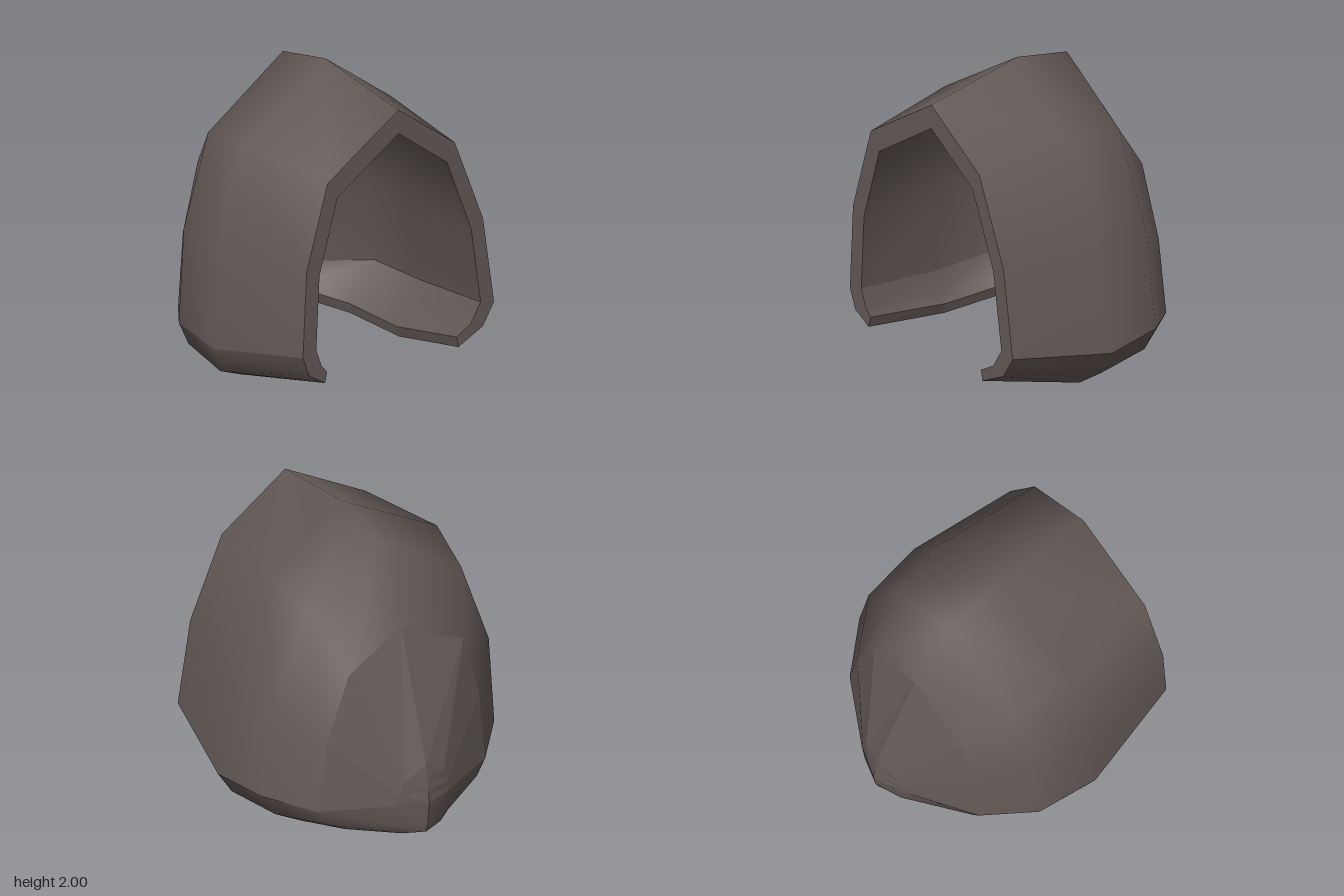
import * as THREE from 'three';

// Arch cross-sections from front to back. Each runs from the tip of the
// curled lower lip on the -x side, over the peak, to the tip on the +x side.
const at = (z, pts) => pts.map(([x, y]) => [x, y, z]);
const mirrored = (half) => [
  ...half.map(([x, y, z]) => [-x, y, z]),
  ...half.slice(0, -1).reverse(),
];
const outer = [
  at(0.87, [[-0.60, 0.19], [-0.73, 0.27], [-0.78, 0.40], [-0.75, 0.96], [-0.58, 1.51], [0, 1.86],
    [0.46, 1.53], [0.69, 0.97], [0.78, 0.39], [0.69, 0.25], [0.49, 0.16]]),
  at(0.17, [[-0.70, 0.07], [-0.86, 0.13], [-0.91, 0.29], [-0.87, 0.95], [-0.68, 1.60], [0, 2],
    [0.53, 1.62], [0.80, 0.96], [0.91, 0.29], [0.81, 0.13], [0.60, 0]]),
  at(-0.24, [[-0.63, 0.11], [-0.77, 0.17], [-0.85, 0.33], [-0.81, 0.95], [-0.61, 1.54], [0, 1.93],
    [0.50, 1.56], [0.76, 0.95], [0.85, 0.33], [0.74, 0.16], [0.55, 0.05]]),
  at(-0.53, [[-0.46, 0.14], [-0.55, 0.18], [-0.61, 0.29], [-0.57, 0.78], [-0.45, 1.22], [0, 1.45],
    [0.38, 1.22], [0.54, 0.76], [0.61, 0.29], [0.53, 0.17], [0.41, 0.10]]),
  mirrored([[0.14, 0.11, -0.77], [0.17, 0.18, -0.79], [0.20, 0.34, -0.79], [0.18, 0.42, -0.80],
    [0.14, 0.51, -0.81], [0, 0.60, -0.83]]),
  // closing seam on the centre line
  mirrored([[0, 0.11, -0.83], [0, 0.18, -0.85], [0, 0.34, -0.87], [0, 0.42, -0.86],
    [0, 0.51, -0.845], [0, 0.60, -0.83]]),
];

// Inner wall: the same sections drawn in, keeping the front rim flat
const inner = outer.map((ring) => ring.map(([x, y, z], j) => {
  const tip = j === 0 || j === ring.length - 1;
  const zi = z < 0 ? z * 0.94 : z;
  return tip ? [x * 0.97, y + 0.07, zi] : [x * 0.86, 0.6 + (y - 0.6) * 0.875, zi];
}));

// Skin a grid of points; flip turns the faces round
function skin(rows, flip = false) {
  const n = rows[0].length, index = [];
  for (let i = 0; i < rows.length - 1; i++) {
    for (let j = 0; j < n - 1; j++) {
      const a = i * n + j, b = a + 1, d = a + n, c = d + 1;
      index.push(...(flip ? [a, c, b, a, d, c] : [a, b, c, a, c, d]));
    }
  }
  const g = new THREE.BufferGeometry();
  g.setAttribute('position', new THREE.Float32BufferAttribute(rows.flat(2), 3));
  g.setIndex(index);
  g.computeVertexNormals();
  return g;
}

export function createModel() {
  const group = new THREE.Group();
  const color = 0x645a57;
  const smooth = new THREE.MeshStandardMaterial({ color });
  const flat = new THREE.MeshStandardMaterial({ color, flatShading: true });
  const edge = new THREE.MeshStandardMaterial({ color, flatShading: true, side: THREE.DoubleSide });
  const add = (name, geometry, material) => {
    const mesh = new THREE.Mesh(geometry, material);
    mesh.name = name;
    group.add(mesh);
  };
  const cut = (rings, r0, r1, c0, c1) => rings.slice(r0, r1 + 1).map((r) => r.slice(c0, c1 + 1));

  // Both walls: smooth dome, faceted back, curled lower lips
  for (const [side, rings, flip] of [['outer', outer, false], ['inner', inner, true]]) {
    add(side + 'Dome', skin(cut(rings, 0, 3, 2, 8), flip), smooth);
    add(side + 'Back', skin(cut(rings, 3, 5, 2, 8), flip), flat);
    add(side + 'RightLip', skin(cut(rings, 0, 5, 0, 2), flip), smooth);
    add(side + 'LeftLip', skin(cut(rings, 0, 5, 8, 10), flip), smooth);
  }

  // Flat rim around the face opening
  add('frontRim', skin([inner[0], outer[0]]), flat);

  // Edges joining the walls along the neck opening
  for (const [name, j] of [['rightNeckEdge', 0], ['leftNeckEdge', 10]]) {
    add(name, skin([outer.map((r) => r[j]), inner.map((r) => r[j])]), edge);
  }
  return group;
}
